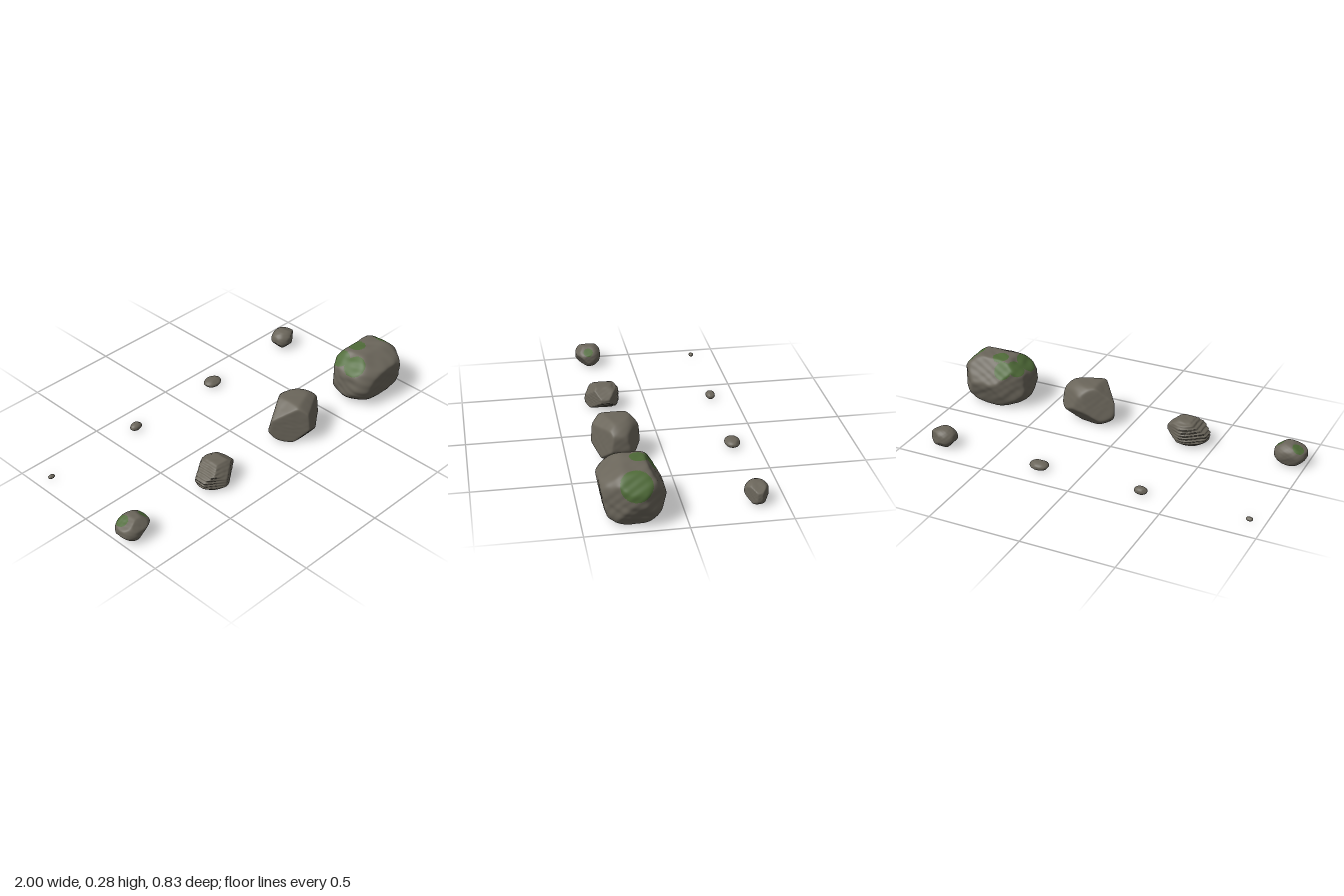
import * as THREE from 'three';
import { mergeVertices } from 'three/addons/utils/BufferGeometryUtils.js';

const FLOOR = 0.95; // where the flat base cuts the unit rock
const SHARPNESS = 36; // how crisp the edges between facets are

const stone = new THREE.MeshStandardMaterial({ color: 0x6b665b });
stone.name = 'stone';
const moss = new THREE.MeshStandardMaterial({ color: 0x4f6b38 });
moss.name = 'moss';

// Facet of a unit rock: compass angle from the front, upward tilt, distance
function facet([turn, tilt, distance]) {
  const { degToRad } = THREE.MathUtils;
  return new THREE.Vector3()
    .setFromSphericalCoords(1, degToRad(90 - tilt), degToRad(turn))
    .divideScalar(distance);
}

// Gentle lumps over the surface
const lumps = (d) =>
  Math.sin(d.x * 7 + d.y * 5 + 1) * Math.sin(d.z * 8 - d.y * 4 + 2) +
  0.6 * Math.sin(d.x * 15 - d.z * 9) * Math.sin(d.y * 17 + d.z * 6 + 1);

// Sphere trimmed by facets with softly rounded edges and a flat base
function rockGeometry({ centre, size, facets, detail, rough = 0.006, round = 1.14, layers = 0 }) {
  let geo = new THREE.IcosahedronGeometry(1, detail);
  geo.deleteAttribute('normal');
  geo.deleteAttribute('uv');
  geo = mergeVertices(geo, 1e-5);

  const [width, height, depth] = size;
  const halfHeight = height / (1 + FLOOR);
  const cuts = facets.map(facet);
  const pos = geo.attributes.position;
  const d = new THREE.Vector3();
  for (let i = 0; i < pos.count; i++) {
    d.fromBufferAttribute(pos, i).normalize();
    const limits = [1 / round, Math.abs(d.x), Math.abs(d.y), Math.abs(d.z), ...cuts.map((n) => Math.max(0, n.dot(d)))];
    const sum = limits.reduce((s, v) => s + v ** SHARPNESS, 0);
    let r = sum ** (-1 / SHARPNESS) * (1 + rough * lumps(d));
    // weathered ledges, strongest on the back and left
    r *= 1 + layers * Math.sin(d.y * r * 26 + d.x * 3) * THREE.MathUtils.clamp(0.5 - d.x - d.z * 0.5, 0.15, 1);
    if (d.y < 0) r = Math.min(r, -FLOOR / d.y);
    pos.setXYZ(
      i,
      centre[0] + (d.x * r * width) / 2,
      (d.y * r + FLOOR) * halfHeight,
      centre[1] + (d.z * r * depth) / 2,
    );
  }
  geo.computeVertexNormals();
  return geo;
}

// Sort faces into stone and moss; each spot is x, y, z, radius
function paintMoss(geo, spots) {
  const pos = geo.attributes.position;
  const index = geo.index.array;
  const faces = [[], []];
  const middle = new THREE.Vector3();
  const corner = new THREE.Vector3();
  for (let i = 0; i < index.length; i += 3) {
    const tri = [index[i], index[i + 1], index[i + 2]];
    middle.set(0, 0, 0);
    tri.forEach((v) => middle.addScaledVector(corner.fromBufferAttribute(pos, v), 1 / 3));
    const mossy = spots.some(([x, y, z, r]) => corner.set(x, y, z).distanceTo(middle) < r);
    faces[mossy ? 1 : 0].push(...tri);
  }
  geo.setIndex(faces.flat());
  geo.addGroup(0, faces[0].length, 0);
  geo.addGroup(faces[0].length, faces[1].length, 1);
}

function makeRock(name, options) {
  const geo = rockGeometry(options);
  if (options.moss) paintMoss(geo, options.moss);
  const mesh = new THREE.Mesh(geo, options.moss ? [stone, moss] : stone);
  mesh.name = name;
  return mesh;
}

export function createModel() {
  const model = new THREE.Group();
  model.name = 'rocks';

  // front row
  model.add(makeRock('boulder', {
    centre: [0.808, 0.252], size: [0.385, 0.275, 0.325], detail: 40, rough: 0.012,
    facets: [
      [0, -10, 0.9], [0, 58, 1], [0, -37, 1.05], [180, 30, 0.89], [180, -17, 0.93], [-90, 42, 1.03],
      [90, 33, 1.05], [90, -21, 0.97], [-143, 0, 0.95], [63, 0, 0.95], [127, 0, 1],
    ],
    moss: [
      [0.965, 0.225, 0.245, 0.078], [0.775, 0.275, 0.21, 0.045], [0.66, 0.23, 0.29, 0.06],
      [0.665, 0.235, 0.19, 0.05], [0.73, 0.235, 0.13, 0.055],
    ],
  }));
  model.add(makeRock('angularRock', {
    centre: [0.23, 0.25], size: [0.305, 0.225, 0.245], detail: 32, rough: 0.004,
    facets: [
      [-53, 0, 0.65], [34, 6, 0.78], [-142, 11, 0.82], [90, -42, 0.87], [-90, 41, 0.88],
      [169, -37, 0.9], [27, 48, 0.98], [141, 12, 1], [0, -35, 0.95],
    ],
  }));
  model.add(makeRock('layeredRock', {
    centre: [-0.345, 0.245], size: [0.225, 0.133, 0.185], detail: 32, rough: 0.008, layers: 0.025,
    facets: [
      [-90, 37, 0.8], [90, 41, 0.95], [90, -41, 0.78], [-37, 0, 0.86], [37, 0, 0.72],
      [143, 0, 0.9], [-143, 7, 0.88], [0, 30, 0.82],
    ],
  }));
  model.add(makeRock('smallMossyRock', {
    centre: [-0.915, 0.252], size: [0.17, 0.122, 0.14], detail: 28, round: 1.08,
    facets: [[35, -30, 0.8], [-90, 56, 0.88], [82, 45, 0.95], [-90, -41, 0.9], [0, 37, 0.95], [186, -17, 0.95]],
    moss: [[-0.958, 0.1, 0.228, 0.033], [-0.855, 0.09, 0.255, 0.028]],
  }));

  // back row
  model.add(makeRock('largeStone', {
    centre: [0.805, -0.36], size: [0.14, 0.105, 0.115], detail: 18, rough: 0.008, round: 1.08,
    facets: [[38, 0, 0.78], [142, 0, 0.82], [90, 60, 0.9], [-90, -35, 0.9], [0, -41, 0.92], [180, -41, 0.92]],
  }));
  const pebbles = [
    ['flatStone', 0.232, [0.105, 0.045, 0.08]],
    ['pebble', -0.34, [0.07, 0.04, 0.05]],
    ['tinyPebble', -0.917, [0.037, 0.02, 0.026]],
  ];
  pebbles.forEach(([name, x, size], i) => {
    // same few facets, turned differently on each pebble
    const facets = [40, 20, -20].map((tilt, k) => [i * 100 + k * 137, tilt, 0.92]);
    model.add(makeRock(name, { centre: [x, -0.364], size, facets, detail: 12, round: 1.02 }));
  });
  return model;
}
